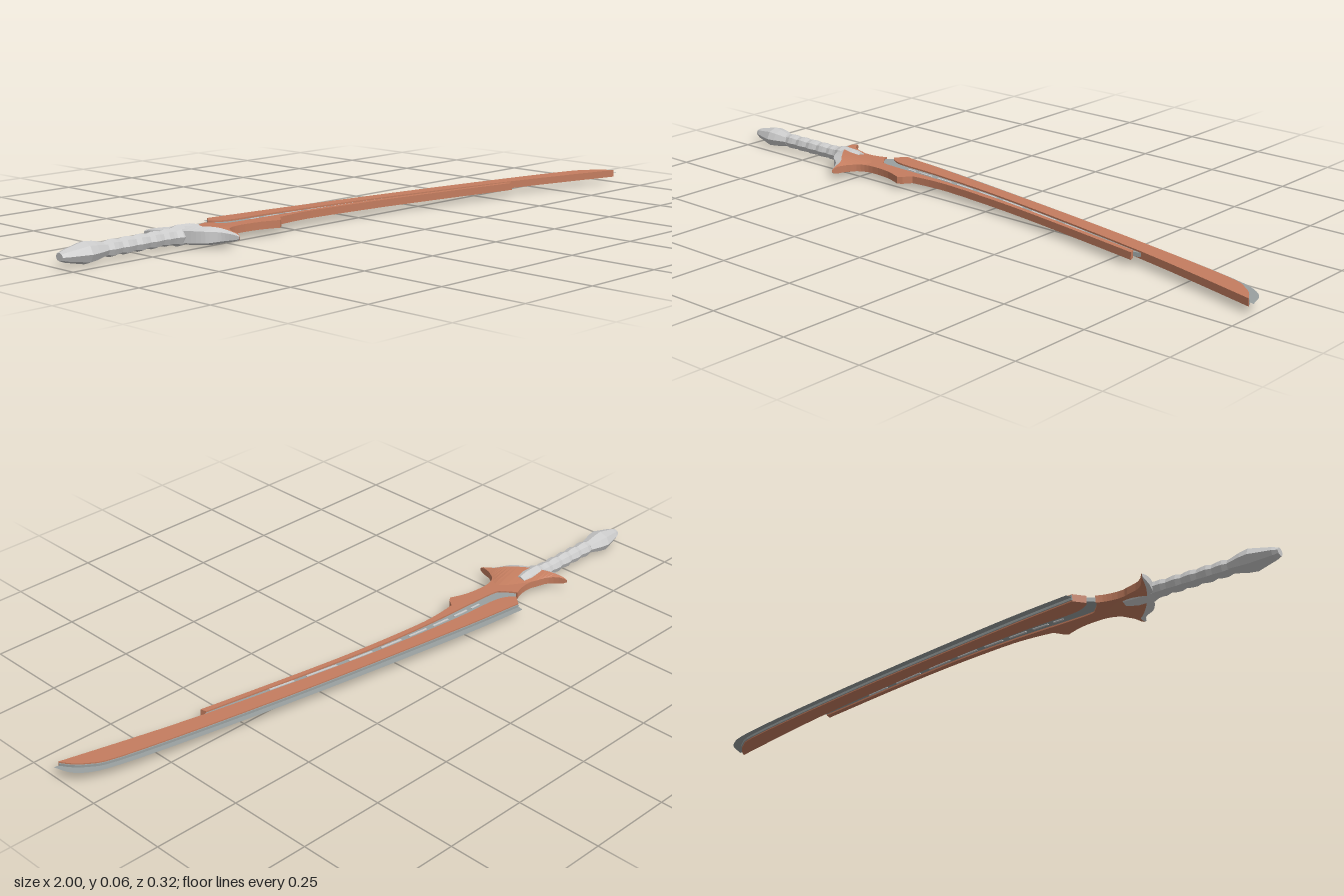
import * as THREE from 'three';

const MID = 0.03; // height of the sword's centre plane
const mat = (color) => new THREE.MeshStandardMaterial({ color, flatShading: true, side: THREE.DoubleSide });
const copper = mat(0xc47d5f), steel = mat(0x99a0a0), grey = mat(0xcccccc);

const vecs = (pts) => pts.map(([x, z]) => new THREE.Vector2(x, z));
const smooth = (pts, n = 24) => new THREE.SplineCurve(vecs(pts)).getPoints(n);

function add(parent, name, geometry, material) {
  const mesh = new THREE.Mesh(geometry, material);
  mesh.name = name;
  parent.add(mesh);
  return mesh;
}

// Flat plate with an (x, z) outline, centred on the middle plane
function plate(outline, half) {
  const g = new THREE.ExtrudeGeometry(new THREE.Shape(outline), { depth: half * 2, bevelEnabled: false });
  return g.rotateX(Math.PI / 2).translate(0, MID + half, 0);
}

// Ribbon between two (x, z) curves with a half height along each
function loft(a, b, heightA, heightB) {
  const pos = [], n = a.length - 1;
  const ring = (i) => {
    const t = i / n, ha = heightA(t), hb = heightB(t);
    return [[a[i].x, MID + ha, a[i].y], [b[i].x, MID + hb, b[i].y],
      [b[i].x, MID - hb, b[i].y], [a[i].x, MID - ha, a[i].y]];
  };
  for (let i = 0; i < n; i++) {
    const r = ring(i), s = ring(i + 1);
    for (let k = 0; k < 4; k++) {
      const m = (k + 1) % 4;
      pos.push(...r[k], ...s[k], ...s[m], ...r[k], ...s[m], ...r[m]);
    }
  }
  const g = new THREE.BufferGeometry();
  g.setAttribute('position', new THREE.Float32BufferAttribute(pos, 3));
  g.computeVertexNormals();
  return g;
}

// Eight-sided turned piece along x from [x, radius] pairs
function turned(profile, flatten) {
  const g = new THREE.LatheGeometry(profile.map(([x, r]) => new THREE.Vector2(r, x)), 8);
  return g.rotateZ(-Math.PI / 2).scale(1, flatten, 1).translate(0, MID, -0.053);
}

export function createModel() {
  const sword = new THREE.Group();
  sword.name = 'sword';

  // Blade outline curves, from guard to tip
  const back = smooth([[-0.44, -0.142], [-0.18, -0.11], [0.35, -0.03], [0.83, 0.061], [0.94, 0.105], [0.985, 0.158]]);
  const edge = smooth([[-0.435, -0.163], [-0.18, -0.134], [0.35, -0.051], [0.83, 0.04], [0.965, 0.09], [1, 0.16]]);
  const belly = smooth([[-0.465, -0.112], [-0.45, -0.097], [-0.4, -0.08], [-0.24, -0.07], [0.08, -0.03], [0.59, 0.064], [0.985, 0.16]]);
  const grooveLow = smooth([[-0.485, -0.095], [-0.46, -0.062], [-0.42, -0.047], [-0.18, -0.037], [0.08, -0.011], [0.57, 0.07]]);
  const lower = smooth([[-0.295, -0.012], [-0.22, -0.019], [-0.13, -0.017], [0.08, 0.005], [0.3, 0.039], [0.575, 0.087]]);
  const reversed = (c) => [...c].reverse();

  // Main blade, its inset spine and thin cutting edge
  add(sword, 'blade', plate([...back, ...reversed(belly)], 0.0105), copper);
  const spine = back.map((p) => new THREE.Vector2(p.x + 0.001, p.y - 0.003));
  add(sword, 'spineInlay', plate([...spine, ...reversed(back)], 0.007), steel);
  const sheet = new THREE.ShapeGeometry(new THREE.Shape([...edge, ...reversed(back)]));
  add(sword, 'cuttingEdge', sheet.rotateX(Math.PI / 2).translate(0, MID, 0), steel);

  // Recessed channel between blade and lower band
  const bellyPart = belly.filter((p) => p.x < 0.62);
  add(sword, 'channel', plate([...bellyPart, ...reversed(grooveLow)], 0.006), steel);

  // Row of raised bars along the channel
  const channelLine = new THREE.SplineCurve(vecs([[-0.36, -0.061], [-0.18, -0.05], [0.08, -0.02], [0.4, 0.037]]));
  for (let i = 0; i < 8; i++) {
    const a = channelLine.getPoint(i / 8), b = channelLine.getPoint((i + 0.7) / 8);
    const bar = add(sword, 'channelBar', new THREE.BoxGeometry(a.distanceTo(b), 0.016, 0.006), grey);
    bar.position.set((a.x + b.x) / 2, MID, (a.y + b.y) / 2);
    bar.rotation.y = -Math.atan2(b.y - a.y, b.x - a.x);
  }

  // Blade base with its small spur, running into the lower band
  const spur = smooth([[-0.515, 0.03], [-0.49, 0.006], [-0.45, -0.004], [-0.38, 0.002], [-0.325, 0.021]], 12);
  const neck = smooth([[-0.6, -0.093], [-0.55, -0.085], [-0.51, -0.09], [-0.485, -0.1]], 8);
  add(sword, 'lowerBand', plate([...neck, ...grooveLow, ...reversed(lower),
    new THREE.Vector2(-0.312, 0.012), ...reversed(spur), new THREE.Vector2(-0.56, 0.02)], 0.0105), copper);

  // Crescent guard, thick in the middle and thin at both horns
  const swell = (t) => 0.004 + 0.021 * Math.sin(Math.PI * Math.min(1, Math.max(0, t))) ** 0.8;
  const flat = (t) => Math.min(0.0105, swell(t));
  const rim = smooth([[-0.655, -0.147], [-0.64, -0.1], [-0.605, -0.04], [-0.565, 0.01], [-0.54, 0.04], [-0.53, 0.085]]);
  const front = smooth([[-0.654, -0.147], [-0.62, -0.105], [-0.56, -0.084], [-0.48, -0.03], [-0.505, 0.02], [-0.52, 0.045], [-0.529, 0.085]]);
  const heel = smooth([[-0.656, -0.147], [-0.652, -0.1], [-0.628, -0.04], [-0.595, 0.015], [-0.555, 0.045], [-0.531, 0.085]]);
  add(sword, 'guard', loft(rim, front, swell, flat), copper);
  add(sword, 'guardCollar', loft(heel, rim, (t) => swell(t) * 0.65, swell), grey);

  // Ribbed grip
  const grip = [[-0.88, 0], [-0.88, 0.021]];
  for (let i = 0; i < 5; i++) {
    const x = -0.86 + i * 0.045;
    grip.push([x, 0.021], [x + 0.015, 0.025], [x + 0.03, 0.024]);
  }
  grip.push([-0.64, 0.025], [-0.625, 0.031], [-0.58, 0.029], [-0.55, 0.022], [-0.55, 0]);
  add(sword, 'grip', turned(grip, 0.93), grey);

  // Flattened pommel
  add(sword, 'pommel', turned([[-1, 0], [-1, 0.014], [-0.985, 0.021], [-0.925, 0.038], [-0.9, 0.034], [-0.86, 0.022], [-0.86, 0]], 0.78), grey);

  return sword;
}
